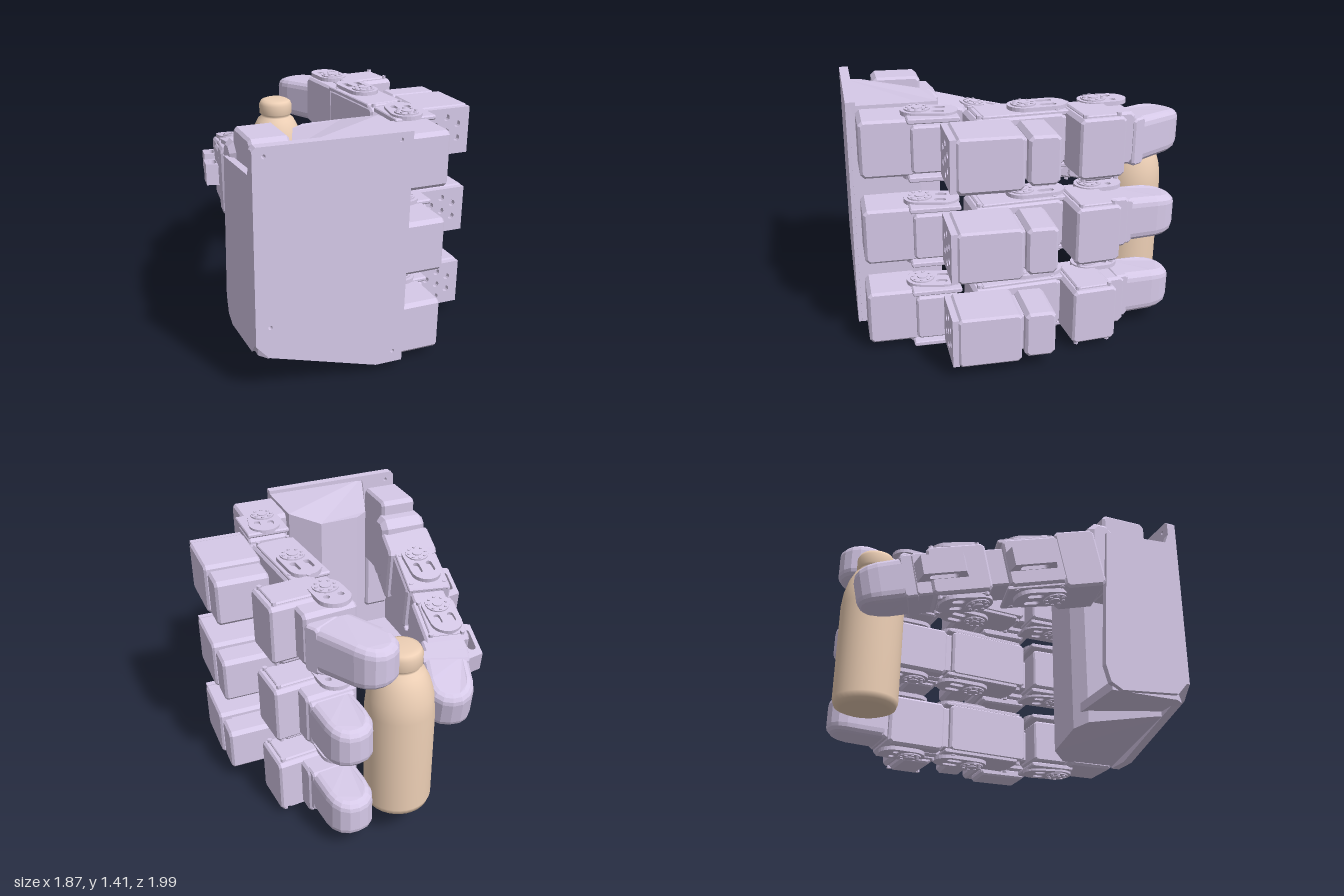
import * as THREE from 'three';

const shell = new THREE.MeshStandardMaterial({ color: 0xd6c9e8, flatShading: true, side: THREE.DoubleSide });
const tan = new THREE.MeshStandardMaterial({ color: 0xeed0b6 });

function add(parent, name, geo, x = 0, y = 0, z = 0, mat = shell) {
  const m = new THREE.Mesh(geo, mat);
  m.name = name;
  m.position.set(x, y, z);
  parent.add(m);
  return m;
}
function group(parent, name, x = 0, y = 0, z = 0, ry = 0, rz = 0) {
  const g = new THREE.Group();
  g.name = name;
  g.position.set(x, y, z);
  g.rotation.set(0, ry, rz, 'YXZ');
  parent.add(g);
  return g;
}
const shapeOf = (pts) => new THREE.Shape(pts.map((p) => new THREE.Vector2(p[0], p[1])));
const circle = (x, y, r) => new THREE.Path().absarc(x, y, r, 0, Math.PI * 2, true);

// rounded bar outline between (x0,y) and (x1,y)
function stadium(x0, x1, y, r, Type = THREE.Path) {
  const s = new Type();
  s.absarc(x1, y, r, -Math.PI / 2, Math.PI / 2, false);
  s.absarc(x0, y, r, Math.PI / 2, Math.PI * 1.5, false);
  s.closePath();
  return s;
}
const extrude = (shape, depth) => new THREE.ExtrudeGeometry(shape, { depth, bevelEnabled: false, curveSegments: 6 });

// box with chamfered edges, given by its limits
function box(parent, name, x0, x1, y0, y1, z0, z1, b = 0.01) {
  const s = shapeOf([[x0 + b, y0 + 2 * b], [x0 + 2 * b, y0 + b], [x1 - 2 * b, y0 + b], [x1 - b, y0 + 2 * b],
    [x1 - b, y1 - 2 * b], [x1 - 2 * b, y1 - b], [x0 + 2 * b, y1 - b], [x0 + b, y1 - 2 * b]]);
  const g = new THREE.ExtrudeGeometry(s, { depth: z1 - z0 - 2 * b, bevelSize: b, bevelThickness: b, bevelSegments: 1 });
  return add(parent, name, g.translate(0, 0, z0 + b));
}
// plan outline (x, z) extruded between two heights
const plan = (parent, name, shape, y0, y1) =>
  add(parent, name, extrude(shape, y1 - y0).rotateX(Math.PI / 2), 0, y1, 0);
// outline (z, y) extruded between two x values
const slab = (parent, name, shape, x0, x1) =>
  add(parent, name, extrude(shape, x1 - x0).rotateY(-Math.PI / 2), x1, 0, 0);

// joint: slotted fork plate, disc and a ring of bolts on both faces
function joint(parent, x, z, h, reach, turn = 0) {
  for (const side of [1, -1]) {
    const j = group(parent, 'joint', x, side * h, z, turn);
    const fork = stadium(0, reach, 0, 0.09, THREE.Shape);
    fork.holes.push(stadium(0.1, reach, 0.04, 0.018), stadium(0.1, reach, -0.04, 0.018));
    plan(j, 'forkPlate', fork, -0.012, 0.012);
    add(j, 'jointDisc', new THREE.CylinderGeometry(0.07, 0.07, 0.03, 16), 0, side * 0.005, 0);
    add(j, 'jointHub', new THREE.CylinderGeometry(0.03, 0.03, 0.012, 12), 0, side * 0.02, 0);
    for (let i = 0; i < 8; i++) {
      const a = i * Math.PI / 4;
      add(j, 'bolt', new THREE.CylinderGeometry(0.01, 0.01, 0.012, 6), 0.053 * Math.cos(a), side * 0.02, 0.053 * Math.sin(a));
    }
  }
}
// motor housing with raised lids and corner screws
function motor(parent, x0, x1, h, z0, z1) {
  const g = group(parent, 'motor');
  box(g, 'motorHousing', x0, x1, -h, h, z0, z1, 0.012);
  for (const s of [1, -1]) {
    box(g, 'motorLid', x0 + 0.03, x1 - 0.03, s * h - 0.012, s * h + 0.012, z0 + 0.03, z1 - 0.03, 0.005);
    for (const x of [x0 + 0.035, x1 - 0.035]) for (const z of [z0 + 0.035, z1 - 0.035])
      add(g, 'screw', new THREE.CylinderGeometry(0.014, 0.014, 0.02, 6), x, s * (h + 0.01), z);
  }
}
// slotted cable guard standing off one side
function guard(parent, x0, x1, y, z0, z1) {
  const s = shapeOf([[x0, z1], [x0 + 0.03, z0], [x1 - 0.03, z0], [x1, z1]]);
  const mid = (z0 + z1) / 2;
  s.holes.push(stadium(x0 + 0.09, x1 - 0.09, mid, 0.022));
  plan(parent, 'cableGuard', s, y - 0.06, y + 0.06);
}
// padded fingertip with a rounded, tapering nose
function fingertip(parent, x, y, z, len, turn) {
  const g = group(parent, 'fingertip', x, y, z, turn);
  const s = new THREE.Shape();
  s.moveTo(0, -0.09);
  s.lineTo(len - 0.15, -0.09);
  s.quadraticCurveTo(len - 0.04, -0.085, len - 0.04, 0);
  s.quadraticCurveTo(len - 0.04, 0.085, len - 0.15, 0.09);
  s.lineTo(0, 0.09);
  const geo = new THREE.ExtrudeGeometry(s, { depth: 0.16, bevelSize: 0.04, bevelThickness: 0.05, bevelSegments: 3, curveSegments: 4 });
  geo.rotateX(Math.PI / 2).translate(0, 0.08, 0);
  const p = geo.attributes.position;
  for (let i = 0; i < p.count; i++) p.setY(i, p.getY(i) * (1 - 0.22 * Math.max(0, p.getX(i) / len) ** 3));
  add(g, 'fingertipPad', geo);
  box(g, 'fingertipCollar', -0.06, 0.03, -0.135, 0.135, -0.13, 0.13);
}

// palm frame: x runs inward from the outer plate, z runs from thumb end to knuckles
function buildPalm(root) {
  const palm = group(root, 'palm', 0.28, 0, 0.98, 2.484);
  const plate = shapeOf([[0, 0.32], [0.07, 0.24], [0.7, 0.05], [0.86, 0.05], [0.87, 1.4], [0.02, 1.41], [0, 1.39]]);
  for (const [u, y] of [[0.08, 0.42], [0.8, 0.12], [0.8, 1.36], [0.06, 1.36]]) plate.holes.push(circle(u, y, 0.012));
  slab(palm, 'outerPlate', plate, -0.02, 0.035);

  const core = plan(palm, 'palmCore', shapeOf([[0, 0.22], [0.1, 0.25], [0.44, 0.38], [0.5, 0.46], [0.51, 0.7],
    [0.38, 0.86], [0, 0.87]]), 0, 1.38);
  // slope the underside and lower the inner top edge
  const p = core.geometry.attributes.position;
  for (let i = 0; i < p.count; i++) {
    if (p.getY(i) < -1) p.setY(i, -1.38 + Math.max(0.06, 0.26 - 0.28 * p.getZ(i)));
    else if (p.getX(i) > 0.4) p.setY(i, -0.04);
  }
  const wall = shapeOf([[0, 0.32], [0.06, 0.25], [0.42, 0.22], [0.49, 0.26], [0.52, 0.36], [0.47, 1.22], [0.06, 1.25], [0, 1.4]]);
  add(palm, 'thumbSideWall', extrude(wall, 0.04));
  plan(palm, 'recessFloor', shapeOf([[0, 0.07], [0.05, 0.03], [0.47, 0.03], [0.47, 0.42], [0, 0.42]]), 0.225, 0.28);
  box(palm, 'thumbMotorTop', 0.17, 0.46, 0.88, 1.385, 0.05, 0.27, 0.015);
  box(palm, 'thumbMotorRear', 0.06, 0.19, 0.5, 1.12, 0.1, 0.26, 0.015);
  box(palm, 'thumbAxleBlock', 0.4, 0.57, 0.88, 1.3, 0.02, 0.31, 0.03);
  return palm;
}

function buildFinger(root, palm, y, tipTurn, tipLen, tipDrop) {
  // knuckle and side motor, in the palm frame
  const k = group(palm, 'knuckle', 0, y, 0);
  box(k, 'knuckleMotor', 0.03, 0.33, -0.155, 0.16, 0.85, 1.12, 0.014);
  box(k, 'knuckleCore', 0.3, 0.54, -0.13, 0.13, 0.93, 1.16);
  for (const s of [1, -1]) box(k, 'knuckleBracket', 0.28, 0.56, s * 0.16 - 0.014, s * 0.16 + 0.014, 0.92, 1.17, 0.005);
  joint(k, 0.35, 1.02, 0.175, 0.13, -0.2);
  box(k, 'knuckleLink', 0.47, 0.6, -0.1, 0.1, 1.08, 1.22);
  box(k, 'sideMotor', 0.48, 0.83, -0.135, 0.155, 1.18, 1.5, 0.012);
  box(k, 'sideMotorWaist', 0.8, 0.88, -0.1, 0.12, 1.2, 1.44);
  box(k, 'sideMotorRear', 0.85, 1.02, -0.12, 0.145, 1.19, 1.49, 0.014);
  box(k, 'sideMotorFoot', 0.5, 0.8, -0.18, -0.13, 1.2, 1.4);
  const face = shapeOf([[1.19, -0.13], [1.49, -0.13], [1.49, 0.15], [1.19, 0.15]]);
  face.holes.push(circle(1.34, 0.01, 0.02));
  for (let i = 0; i < 6; i++) {
    const a = i * Math.PI / 3 + Math.PI / 6;
    face.holes.push(circle(1.34 + 0.085 * Math.cos(a), 0.01 + 0.085 * Math.sin(a), 0.02));
  }
  slab(k, 'drilledFacePlate', face, 0.45, 0.485);

  // middle and end links, x along the finger
  const f = group(root, 'finger', 0.19, y, -0.39, 2.57);
  motor(f, -0.29, 0.22, 0.148, -0.125, 0.125);
  for (const s of [1, -1]) box(f, 'linkPlate', -0.24, 0.25, s * 0.15 - 0.013, s * 0.15 + 0.013, -0.12, 0.11, 0.005);
  joint(f, 0.02, 0.0, 0.173, 0.16);
  box(f, 'linkNeck', 0.18, 0.3, -0.13, 0.13, -0.09, 0.11);
  motor(f, 0.23, 0.49, 0.165, -0.02, 0.33);
  box(f, 'endLink', 0.25, 0.6, -0.15, 0.15, -0.1, 0.2, 0.014);
  box(f, 'endLinkFoot', 0.28, 0.46, -0.2, -0.15, 0.03, 0.27);
  joint(f, 0.43, 0.0, 0.172, 0.1);
  fingertip(f, 0.6, tipDrop, 0.06, tipLen, tipTurn);
}

function buildThumb(root) {
  const t = group(root, 'thumb', -0.2, 1.0, 0.37, 2.29, -0.2);
  box(t, 'thumbRoot', -0.27, -0.02, -0.19, 0.18, -0.14, 0.16, 0.014);
  motor(t, -0.04, 0.3, 0.15, -0.14, 0.13);
  for (const s of [1, -1]) box(t, 'linkPlate', -0.1, 0.32, s * 0.153 - 0.013, s * 0.153 + 0.013, -0.12, 0.12, 0.005);
  joint(t, 0.02, 0, 0.178, 0.16, 0.1);
  guard(t, 0, 0.3, 0, -0.21, -0.12);
  box(t, 'linkNeck', 0.28, 0.44, -0.12, 0.12, -0.1, 0.1);
  motor(t, 0.4, 0.74, 0.15, -0.12, 0.13);
  joint(t, 0.48, 0, 0.168, 0.14, 0.1);
  guard(t, 0.52, 0.82, 0, -0.19, -0.1);
  box(t, 'endLink', 0.7, 0.83, -0.135, 0.135, -0.09, 0.15);
  fingertip(t, 0.85, 0, 0.05, 0.3, -0.12);
}

export function createModel() {
  const root = new THREE.Group();
  root.name = 'robotHandWithBottle';
  const palm = buildPalm(root);
  buildFinger(root, palm, 1.2, 0.43, 0.4, -0.03);
  buildFinger(root, palm, 0.7, 0, 0.33, -0.005);
  buildFinger(root, palm, 0.2, 0, 0.33, 0.02);
  buildThumb(root);

  // bottle with rounded base, shoulder and cap
  const profile = [[0, 0.17], [0.14, 0.17], [0.175, 0.185], [0.187, 0.22], [0.188, 0.8], [0.178, 0.89], [0.155, 0.97],
    [0.125, 1.03], [0.1, 1.05], [0.1, 1.065], [0.113, 1.075], [0.113, 1.135], [0.1, 1.16], [0.075, 1.17], [0, 1.17]];
  add(root, 'bottle', new THREE.LatheGeometry(profile.map((p) => new THREE.Vector2(p[0], p[1])), 32), -0.615, 0, -0.62, tan);
  return root;
}
